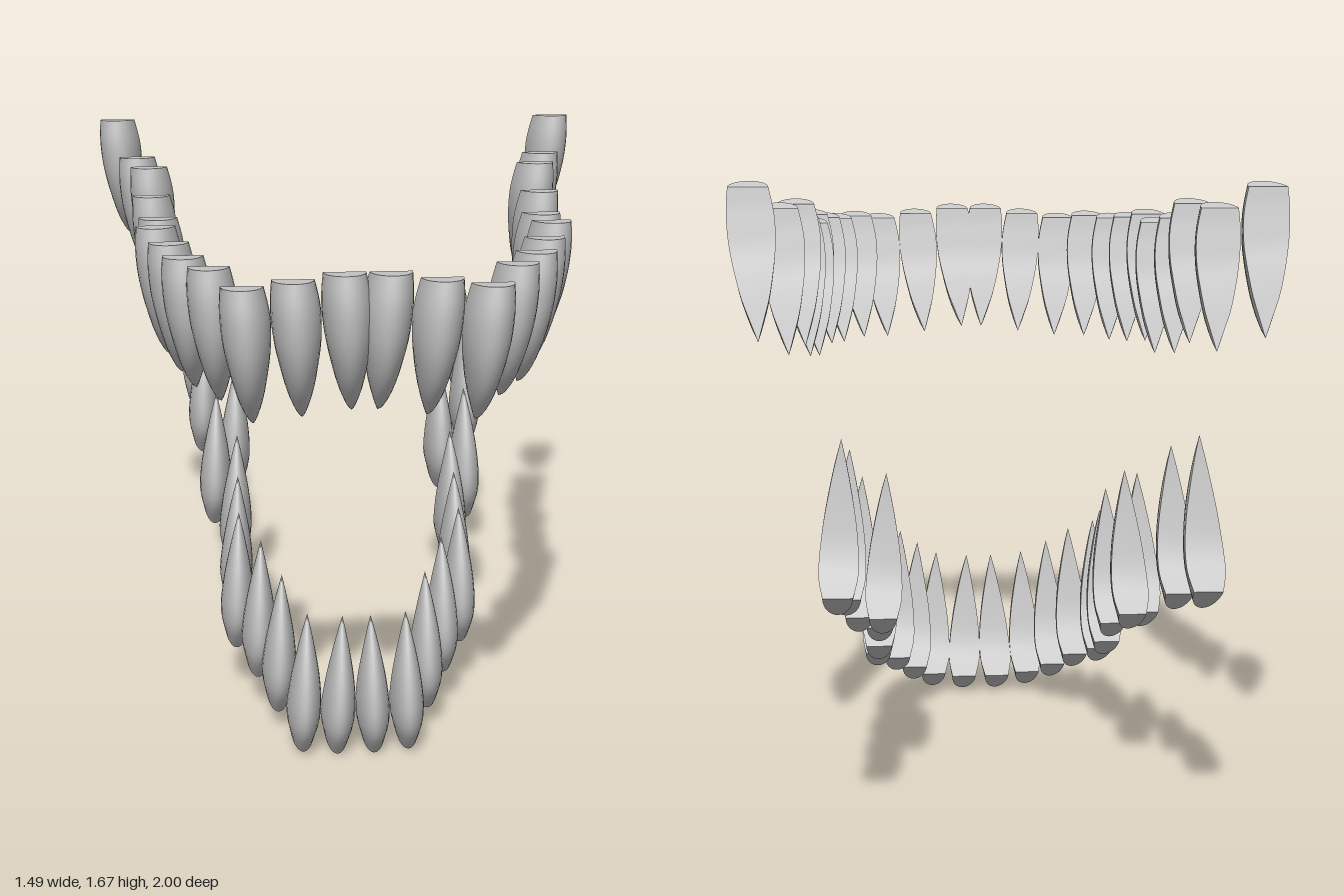
import * as THREE from 'three';
import { mergeGeometries } from 'three/addons/utils/BufferGeometryUtils.js';

const STEPS = 18, ARC = 16;
const material = new THREE.MeshStandardMaterial({ color: 0xcccccc });

// Tooth stations from tip to root: [frontZ, frontY, backZ, backY, halfWidth]
const UPPER = [
  [0, 0, 0, 0, 0], [0.045, 0.02, 0.015, 0.055, 0.018], [0.1, 0.065, 0.03, 0.11, 0.036],
  [0.155, 0.135, 0.05, 0.175, 0.05], [0.193, 0.215, 0.073, 0.24, 0.06],
  [0.21, 0.29, 0.088, 0.305, 0.063], [0.213, 0.35, 0.098, 0.35, 0.06], [0.203, 0.41, 0.105, 0.395, 0.053],
];
const LOWER = [
  [0, 0, 0, 0, 0], [0.03, -0.045, -0.004, -0.06, 0.014], [0.06, -0.105, -0.012, -0.13, 0.028],
  [0.083, -0.18, -0.022, -0.2, 0.04], [0.09, -0.25, -0.033, -0.26, 0.047],
  [0.085, -0.31, -0.047, -0.305, 0.05], [0.062, -0.37, -0.065, -0.345, 0.049], [-0.003, -0.45, -0.085, -0.39, 0.038],
];

// Smooth surface through rows of points
function strip(rows, flip) {
  const n = rows[0].length, index = [];
  for (let i = 0; i < rows.length - 1; i++) {
    for (let j = 0; j < n - 1; j++) {
      const a = i * n + j, b = a + n;
      if (flip) index.push(a, a + 1, b, a + 1, b + 1, b);
      else index.push(a, b, a + 1, a + 1, b, b + 1);
    }
  }
  const g = new THREE.BufferGeometry().setFromPoints(rows.flat());
  g.setIndex(index);
  g.computeVertexNormals();
  return g;
}

// D-shaped tooth: rounded front, flat back, flat root; the tip leans sideways
function toothGeometry(stations, lean, flip) {
  const front = new THREE.CatmullRomCurve3(stations.map(s => new THREE.Vector3(0, s[1], s[0])));
  const back = new THREE.CatmullRomCurve3(stations.map(s => new THREE.Vector3(s[4], s[3], s[2])));
  const frontRows = [], backRows = [];
  let root;
  for (let i = 0; i <= STEPS; i++) {
    const t = i / STEPS, f = front.getPoint(t), b = back.getPoint(t);
    const shift = lean * (1 - t);
    const at = (x, s) => new THREE.Vector3(
      x * b.x + shift, THREE.MathUtils.lerp(b.y, f.y, s), THREE.MathUtils.lerp(b.z, f.z, s));
    const arc = [], flat = [];
    for (let j = 0; j <= ARC; j++) {
      const a = (Math.PI * j) / ARC;
      arc.push(at(Math.cos(a), Math.sin(a)));
      flat.push(at(Math.cos(a), 0));
    }
    frontRows.push(arc);
    backRows.push([flat[ARC], flat[ARC / 2], flat[0]]);
    root = [arc, flat];
  }
  return mergeGeometries([
    strip(frontRows, flip), strip(backRows, flip),
    strip(root.map(r => r.map(p => p.clone())), flip),
  ]);
}

// One row of teeth, mirrored left and right; spots are [x, tipY, tipZ]
function jaw(name, stations, lean, flip, spots) {
  const group = new THREE.Group();
  group.name = name + 'Teeth';
  for (const [side, label] of [[1, 'Left'], [-1, 'Right']]) {
    const geometry = toothGeometry(stations, -side * lean, flip);
    spots.forEach(([x, y, z], i) => {
      const tooth = new THREE.Mesh(geometry, material);
      tooth.name = `${name}${label}Tooth${i + 1}`;
      tooth.position.set(side * x, y, z);
      group.add(tooth);
    });
  }
  return group;
}

export function createModel() {
  const model = new THREE.Group();
  model.name = 'teeth';
  model.add(jaw('upper', UPPER, 0.024, false, [
    [0.057, 1.187, 0.79], [0.183, 1.17, 0.79], [0.308, 1.155, 0.79], [0.39, 1.165, 0.64],
    [0.457, 1.16, 0.515], [0.497, 1.165, 0.395], [0.535, 1.177, 0.27], [0.535, 1.155, 0.09],
    [0.56, 1.172, -0.105], [0.572, 1.217, -0.275], [0.615, 1.208, -0.455], [0.687, 1.268, -0.73],
  ]));
  model.add(jaw('lower', LOWER, 0.014, true, [
    [0.054, 0.455, 0.49], [0.154, 0.465, 0.49], [0.222, 0.525, 0.355], [0.28, 0.585, 0.245],
    [0.343, 0.63, 0.135], [0.344, 0.688, -0.01], [0.344, 0.775, -0.135], [0.407, 0.85, -0.32],
    [0.344, 0.885, -0.49], [0.445, 0.975, -0.645], [0.468, 1.04, -0.915],
  ]));
  return model;
}
